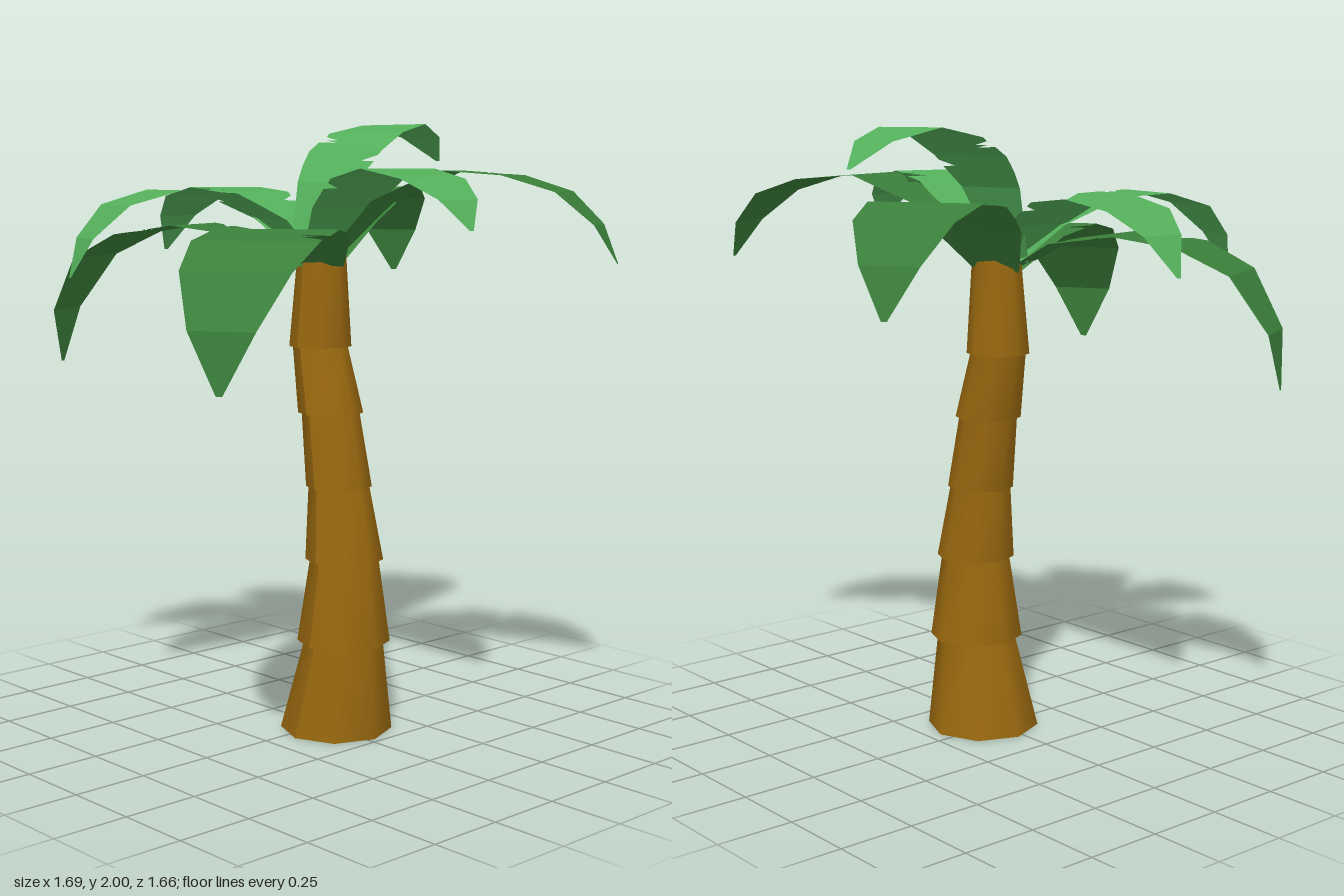
import * as THREE from 'three';

const bark = new THREE.MeshStandardMaterial({ name: 'bark brown', color: 0x97670f });
const lightLeaf = new THREE.MeshStandardMaterial({
  name: 'light leaf green', color: 0x54b05b, flatShading: true, side: THREE.DoubleSide });
const darkLeaf = new THREE.MeshStandardMaterial({
  name: 'dark leaf green', color: 0x3b803b, flatShading: true, side: THREE.DoubleSide });

// Trunk rings: height, centre x, lower radius, and radius of the section's top
const rings = [
  [0, 0.045, 0.185, 0.13],
  [0.305, 0.08, 0.153, 0.113],
  [0.58, 0.083, 0.128, 0.1],
  [0.82, 0.057, 0.108, 0.095],
  [1.06, 0.017, 0.107, 0.09],
  [1.275, -0.033, 0.102, 0.077],
  [1.61, -0.025],
];

function trunkSection(i) {
  const [y0, x0, r0, rTop] = rings[i];
  const [y1, x1] = rings[i + 1];
  const h = y1 - y0;
  const geo = new THREE.CylinderGeometry(rTop, r0, h, 8);
  geo.translate(0, h / 2, 0);
  // lean each section towards the next ring
  const p = geo.attributes.position;
  for (let k = 0; k < p.count; k++) {
    p.setX(k, p.getX(k) + x0 + (x1 - x0) * p.getY(k) / h);
  }
  geo.translate(0, y0, -0.023);
  geo.computeVertexNormals();
  const mesh = new THREE.Mesh(geo, bark);
  mesh.name = 'trunkSection' + (i + 1);
  return mesh;
}

// Leaf outline rows: spine station, then station and width of each edge (with torn notches)
const outline = [
  [0, 0, 0.4, 0, 0.4],
  [1, 1, 0.8, 1, 0.8],
  [1.5, 1.5, 0.92, 1.65, 0.95],
  [1.6, 1.6, 0.93, 1.67, 0.6],
  [1.75, 1.75, 0.95, 1.85, 0.97],
  [2, 2, 0.97, 2, 1],
  [2.2, 2.5, 1, 2.2, 1],
  [2.25, 2.45, 0.5, 2.25, 1],
  [2.35, 2.6, 0.85, 2.35, 1],
  [2.4, 2.6, 0.55, 2.4, 1],
  [2.6, 2.8, 0.97, 2.6, 1],
  [3, 3, 1, 3, 1],
  [4, 4, 0.86, 4, 0.86],
  [5, 5, 0.52, 5, 0.52],
  [6, 6, 0.05, 6, 0.05],
];

// A frond follows a spine of [reach, height] points in the direction (dx, dz)
function frond({ name, dir, base, half, spine, mat }) {
  const len = Math.hypot(dir[0], dir[1]);
  const dx = dir[0] / len, dz = dir[1] / len;
  const at = (s, w) => {
    const i = Math.min(Math.floor(s), spine.length - 2), f = s - i;
    const r = spine[i][0] + (spine[i + 1][0] - spine[i][0]) * f;
    const y = spine[i][1] + (spine[i + 1][1] - spine[i][1]) * f;
    return [base[0] + dx * r + dz * w * half, y, base[1] + dz * r - dx * w * half];
  };
  const rows = outline.map(([c, tp, wp, tn, wn]) => [at(c, 0), at(tp, wp), at(tn, -wn)]);
  const pos = [];
  for (let i = 0; i < rows.length - 1; i++) {
    const [c0, p0, n0] = rows[i], [c1, p1, n1] = rows[i + 1];
    for (const v of [c0, c1, p1, c0, p1, p0, c0, n1, c1, c0, n0, n1]) pos.push(...v);
  }
  const geo = new THREE.BufferGeometry();
  geo.setAttribute('position', new THREE.Float32BufferAttribute(pos, 3));
  geo.computeVertexNormals();
  const mesh = new THREE.Mesh(geo, mat);
  mesh.name = name;
  return mesh;
}

const drooping = [[0.02, 1.54], [0.2, 1.64], [0.42, 1.67], [0.62, 1.64], [0.78, 1.56], [0.89, 1.4], [0.91, 1.22]];

const fronds = [
  // long dark fronds on the diagonals
  { name: 'frontLeftFrond', dir: [0.44, 0.8], base: [0, 0], half: 0.2, mat: darkLeaf, spine: drooping },
  { name: 'frontRightFrond', dir: [-0.82, 0.44], base: [-0.02, 0.02], half: 0.19, mat: darkLeaf,
    spine: drooping.map(([r, y], i) => [r, i > 4 ? y - 0.02 : y]) },
  { name: 'backRightFrond', dir: [-0.45, -0.8], base: [-0.04, -0.02], half: 0.18, mat: darkLeaf,
    spine: [[0.02, 1.54], [0.2, 1.68], [0.42, 1.77], [0.62, 1.79], [0.78, 1.745], [0.88, 1.63], [0.92, 1.48]] },
  { name: 'backLeftFrond', dir: [0.85, -0.47], base: [0, -0.01], half: 0.18, mat: darkLeaf,
    spine: [[0.02, 1.56], [0.2, 1.75], [0.42, 1.845], [0.62, 1.83], [0.78, 1.78], [0.89, 1.68], [0.95, 1.56]] },
  // shorter light fronds
  { name: 'leftFrond', dir: [0.73, 0.06], base: [-0.02, 0.02], half: 0.15, mat: lightLeaf,
    spine: [[0.02, 1.57], [0.15, 1.73], [0.28, 1.82], [0.42, 1.85], [0.58, 1.82], [0.69, 1.76], [0.75, 1.67]] },
  { name: 'rightFrond', dir: [-0.8, 0], base: [-0.02, 0.015], half: 0.152, mat: lightLeaf,
    spine: [[0.02, 1.57], [0.15, 1.69], [0.3, 1.775], [0.45, 1.79], [0.61, 1.76], [0.71, 1.69], [0.78, 1.57]] },
  { name: 'frontFrond', dir: [-0.25, 0.8], base: [-0.03, 0], half: 0.16, mat: lightLeaf,
    spine: [[0.02, 1.56], [0.16, 1.69], [0.34, 1.775], [0.52, 1.785], [0.68, 1.74], [0.78, 1.64], [0.83, 1.52]] },
  { name: 'topFrond', dir: [-0.08, -0.7], base: [-0.05, 0.03], half: 0.158, mat: lightLeaf,
    spine: [[0, 1.57], [0.11, 1.81], [0.2, 1.91], [0.31, 1.97], [0.46, 2.0], [0.61, 1.96], [0.71, 1.88]] },
];

export function createModel() {
  const model = new THREE.Group();
  model.name = 'palmTree';

  const trunk = new THREE.Group();
  trunk.name = 'trunk';
  for (let i = 0; i < rings.length - 1; i++) trunk.add(trunkSection(i));

  const crown = new THREE.Group();
  crown.name = 'crown';
  for (const f of fronds) crown.add(frond(f));

  model.add(trunk, crown);
  return model;
}
